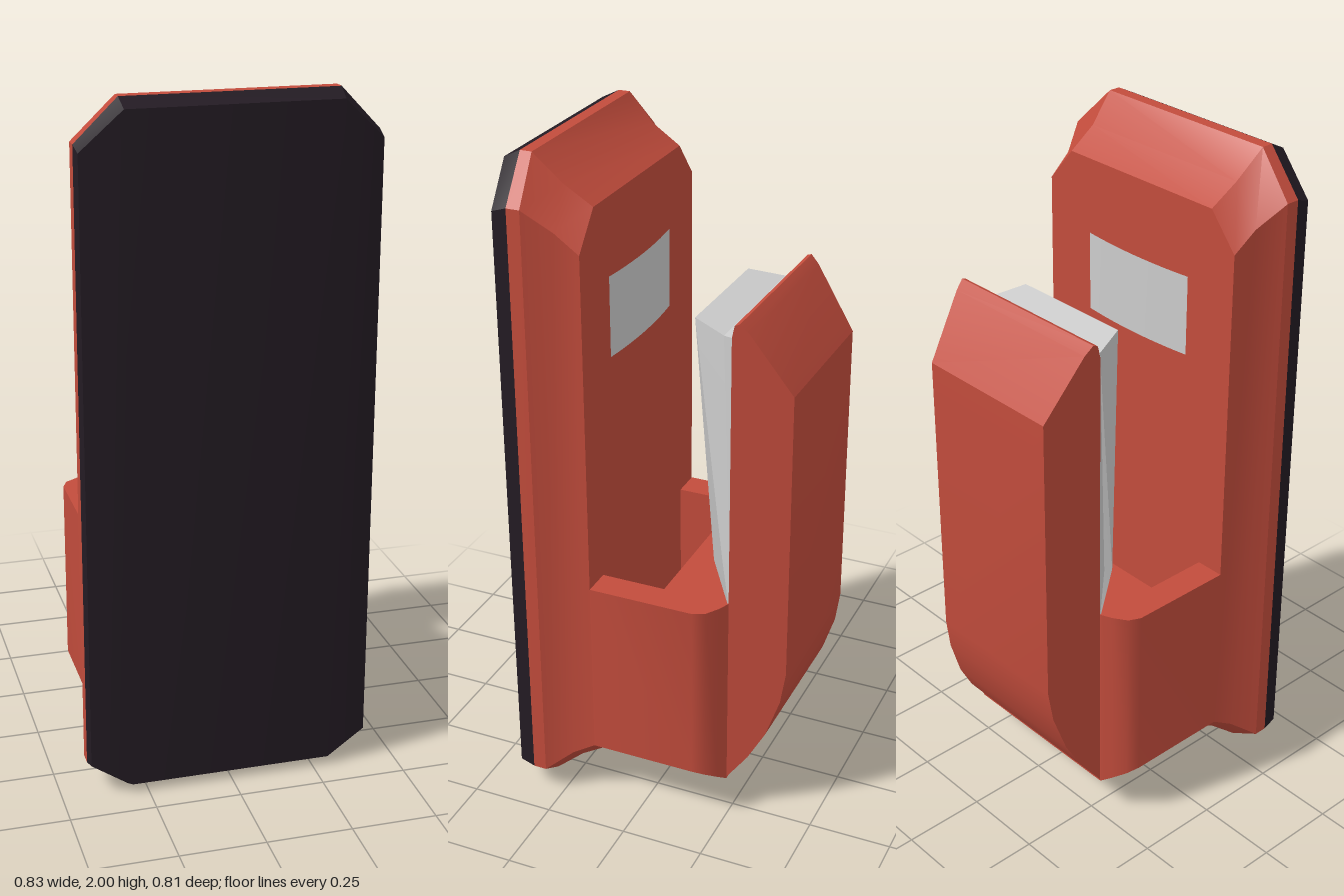
import * as THREE from 'three';
import { toCreasedNormals } from 'three/addons/utils/BufferGeometryUtils.js';

const red = new THREE.MeshStandardMaterial({ color: 0xc24c3c });
const black = new THREE.MeshStandardMaterial({ color: 0x231b23 });
const grey = new THREE.MeshStandardMaterial({ color: 0xcccccc, side: THREE.DoubleSide });

// Skin a row of equal-length rings of [x, y, z] points and close both ends.
// Rings run counter-clockwise seen from outside the first end.
function loft(rings, crease = 0.5) {
  const pos = [];
  const quad = (a, b, c, d) => pos.push(...a, ...b, ...c, ...a, ...c, ...d);
  const n = rings[0].length;
  for (let r = 0; r + 1 < rings.length; r++) {
    const A = rings[r], B = rings[r + 1];
    for (let i = 0; i < n; i++) {
      const j = (i + 1) % n;
      quad(A[i], B[i], B[j], A[j]);
    }
  }
  // end caps as strips between opposite points
  const F = rings[0], L = rings[rings.length - 1];
  for (let i = 0; i < n / 2 - 1; i++) {
    const k = n - 1 - i;
    quad(F[i], F[i + 1], F[k - 1], F[k]);
    quad(L[k], L[k - 1], L[i + 1], L[i]);
  }
  const g = new THREE.BufferGeometry();
  g.setAttribute('position', new THREE.Float32BufferAttribute(pos, 3));
  return toCreasedNormals(g, crease);
}

// Eight-sided plate outline; the side corners sit further back than the middle.
function octagon(zMid, zSide, c, h, top, sideTop, bottom, sideBottom) {
  return [
    [h, sideTop, zSide], [c, top, zMid], [-c, top, zMid], [-h, sideTop, zSide],
    [-h, sideBottom, zSide], [-c, bottom, zMid], [c, bottom, zMid], [h, sideBottom, zSide],
  ];
}

export function createModel() {
  const model = new THREE.Group();
  const add = (name, geometry, material) => {
    const mesh = new THREE.Mesh(geometry, material);
    mesh.name = name;
    model.add(mesh);
    return mesh;
  };

  // front plate: dark face and flared red backing
  const rim = octagon(0.355, 0.34, 0.3, 0.417, 2, 1.88, 0, 0.08);
  add('facePlate', loft([
    octagon(0.405, 0.385, 0.296, 0.413, 1.975, 1.865, 0.025, 0.092),
    rim,
  ], 0.3), black);
  add('backingPlate', loft([
    rim,
    octagon(0.32, 0.3, 0.3, 0.417, 2, 1.88, 0, 0.08),
    octagon(0.24, 0.225, 0.285, 0.376, 1.92, 1.815, 0.065, 0.137),
    octagon(0.155, 0.155, 0.28, 0.369, 1.865, 1.76, 0.115, 0.18),
  ]), red);

  // side walls of the base, rounded at the back and chamfered underneath
  const wall = [[0.28, 0.155], [0.369, 0.155], [0.369, -0.165], [0.353, -0.2], [0.315, -0.225], [0.28, -0.24]];
  for (const s of [1, -1]) {
    const top = wall.map(([x, z]) => [s * x, 0.735, z]);
    const bottom = wall.map(([x, z]) => [s * x, 0.115 + (x - 0.28) * 0.73, z]);
    if (s < 0) { top.reverse(); bottom.reverse(); }
    add(s > 0 ? 'leftBaseWall' : 'rightBaseWall', loft([top, bottom], 0.7), red);
  }

  // rear of the base, leaving an open slot behind the plate
  add('baseRear', new THREE.BoxGeometry(0.56, 0.62, 0.2), red).position.set(0, 0.425, -0.14);

  // rear clip: side profile [z, y], narrowing towards the back
  const profile = [
    [-0.24, 0.12], [-0.3, 0.2], [-0.35, 0.29], [-0.39, 0.41], [-0.405, 0.51],
    [-0.405, 1.4], [-0.285, 1.575], [-0.26, 1.6], [-0.247, 1.595], [-0.24, 1.56],
  ];
  const clipSide = (s) => profile.map(([z, y]) => [s * (0.278 + (z + 0.24) * 0.242), y, z]);
  add('rearClip', loft([clipSide(1), clipSide(-1)], 0.45), red);

  // tapered grip wedge on the inside of the clip
  const wedgeRing = (half) => [
    ...half.map(([x, y, z]) => [-x, y, z]),
    ...half.slice().reverse(),
  ];
  add('gripWedge', loft([
    wedgeRing([[0.278, 1.56, -0.24], [0.23, 1.54, -0.198], [0.192, 1.56, -0.098]]),
    wedgeRing([[0.278, 0.87, -0.24], [0.268, 0.87, -0.215], [0.278, 0.87, -0.194]]),
    wedgeRing([[0.278, 0.735, -0.24], [0.277, 0.735, -0.238], [0.278, 0.735, -0.236]]),
  ], 0.4), grey);

  // slightly bowed pad on the back of the plate
  const pad = new THREE.PlaneGeometry(0.4, 0.24, 10, 1);
  const p = pad.attributes.position;
  for (let i = 0; i < p.count; i++) p.setZ(i, 0.012 * (1 - (p.getX(i) / 0.2) ** 2));
  pad.computeVertexNormals();
  pad.rotateY(Math.PI);
  add('innerPad', pad, grey).position.set(0, 1.52, 0.153);

  return model;
}
